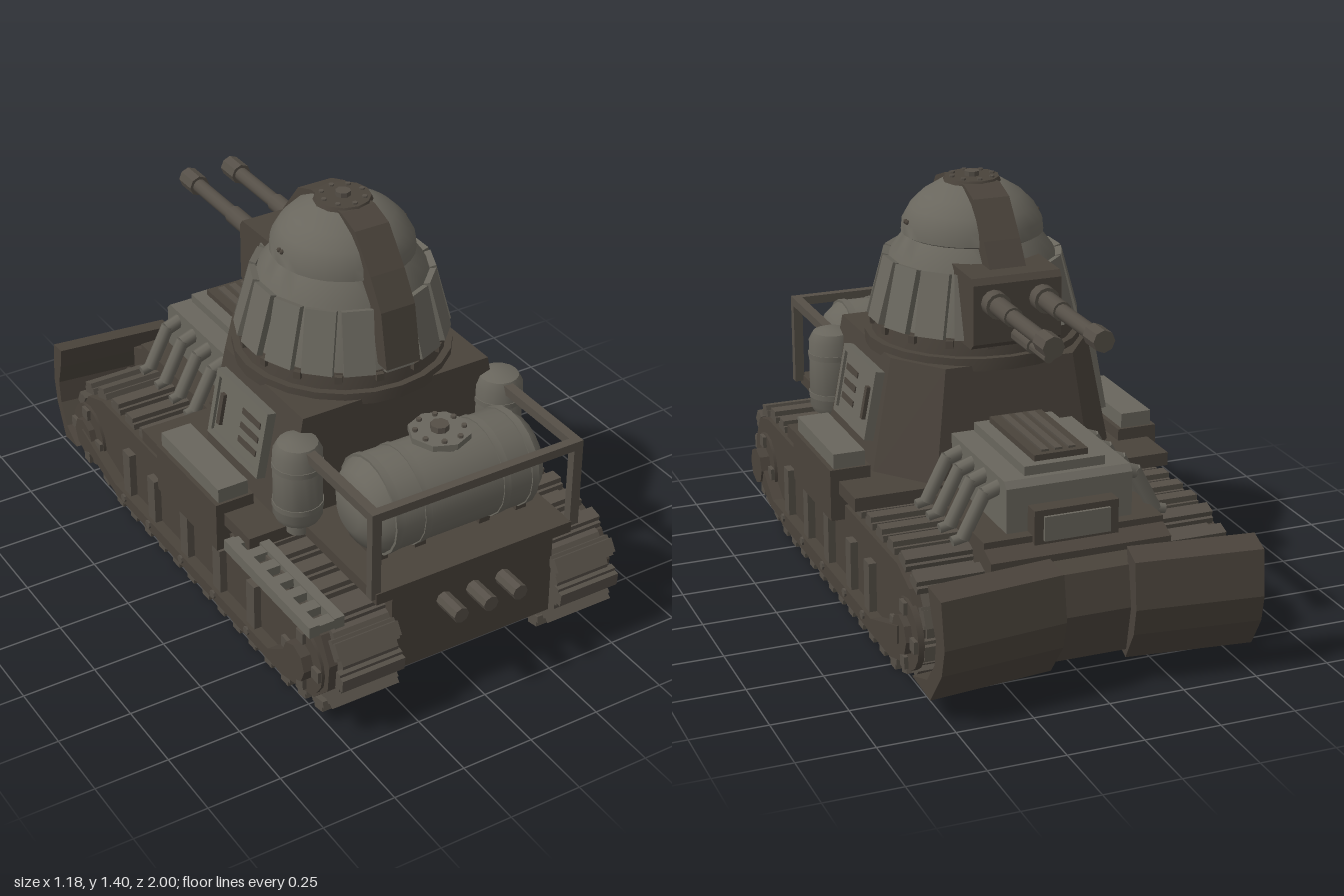
import * as THREE from 'three';
import { toCreasedNormals } from 'three/addons/utils/BufferGeometryUtils.js';
import { ConvexGeometry } from 'three/addons/geometries/ConvexGeometry.js';

const paint = (name, color) => Object.assign(new THREE.MeshStandardMaterial({ color }), { name });

export function createModel() {
  const hullMat = paint('hull brown', 0x4a433b);
  const plateMat = paint('armour grey', 0x69665d);
  const trackMat = paint('track steel', 0x554f47);

  const model = new THREE.Group();
  model.name = 'armouredVehicle';
  const body = new THREE.Group();
  body.name = 'body';
  body.position.x = 0.008;
  model.add(body);

  const add = (name, geo, mat, x = 0, y = 0, z = 0, parent = body) => {
    const m = new THREE.Mesh(geo, mat);
    m.name = name;
    m.position.set(x, y, z);
    parent.add(m);
    return m;
  };
  // Box given by its min and max on each axis
  const box = (name, mat, x0, x1, y0, y1, z0, z1, parent) =>
    add(name, new THREE.BoxGeometry(Math.abs(x1 - x0), y1 - y0, z1 - z0), mat,
      (x0 + x1) / 2, (y0 + y1) / 2, (z0 + z1) / 2, parent);
  // Cylinder along a chosen axis
  const cyl = (name, mat, r0, r1, len, axis, x, y, z, sides = 16, parent = body) => {
    const g = new THREE.CylinderGeometry(r0, r1, len, sides);
    if (axis === 'x') g.rotateZ(-Math.PI / 2);
    if (axis === 'z') g.rotateX(Math.PI / 2);
    return add(name, toCreasedNormals(g, 0.7), mat, x, y, z, parent);
  };
  // Outline of [z, y] points extruded from x0 to x1
  const slab = (name, mat, pts, x0, x1, parent) => {
    const shape = new THREE.Shape(pts.map(([z, y]) => new THREE.Vector2(-z, y)));
    const g = new THREE.ExtrudeGeometry(shape, { depth: x1 - x0, bevelEnabled: false });
    g.rotateY(Math.PI / 2).translate(x0, 0, 0);
    return add(name, g, mat, 0, 0, 0, parent);
  };
  const mirrorSlab = (name, mat, pts, a, b, s, parent) =>
    slab(name, mat, pts, Math.min(s * a, s * b), Math.max(s * a, s * b), parent);
  const rod = (name, mat, a, b, r, sides = 8) => {
    const p = new THREE.Vector3(...a), q = new THREE.Vector3(...b);
    const m = add(name, new THREE.CylinderGeometry(r, r, p.distanceTo(q), sides), mat);
    m.position.copy(p).add(q).multiplyScalar(0.5);
    m.quaternion.setFromUnitVectors(new THREE.Vector3(0, 1, 0), q.sub(p).normalize());
    return m;
  };
  const lathe = (pts, n) => toCreasedNormals(
    new THREE.LatheGeometry(pts.map(([r, y]) => new THREE.Vector2(r, y)), n), 0.6);

  // Hull, decks and fenders
  slab('hull', hullMat, [[0.9, 0.45], [0.9, 0.15], [-0.76, 0.15], [-0.8, 0.2], [-0.8, 0.43], [-0.7, 0.47], [-0.26, 0.47]], -0.3, 0.3);
  box('frontDeck', hullMat, -0.37, 0.355, 0.45, 0.49, 0.44, 0.92);
  box('engineBase', hullMat, -0.3, 0.3, 0.43, 0.475, -0.74, -0.2);
  for (const x of [-0.11, 0, 0.11]) cyl('exhaustPipe', trackMat, 0.027, 0.027, 0.11, 'z', x, 0.36, 0.945, 8);

  // Running gear
  const loop = [[0.62, 0.035], [-0.52, 0.035], [-0.7, 0.085], [-0.78, 0.17], [-0.78, 0.28], [-0.72, 0.36],
    [-0.6, 0.4], [0.75, 0.4], [0.88, 0.37], [0.94, 0.28], [0.93, 0.17], [0.84, 0.08]];
  const path = new THREE.Path(loop.concat([loop[0]]).map(([z, y]) => new THREE.Vector2(z, y)));
  const shoes = Math.round(path.getLength() / 0.103);
  const shoeGeo = new THREE.BoxGeometry(0.225, 0.022, 0.068);
  const cleatGeo = new THREE.BoxGeometry(0.225, 0.022, 0.046);
  const side = [[0.62, 0.04], [-0.52, 0.04], [-0.69, 0.09], [-0.765, 0.18], [-0.765, 0.27], [-0.71, 0.35], [-0.6, 0.39],
    [0.75, 0.39], [0.86, 0.36], [0.91, 0.27], [0.9, 0.17], [0.82, 0.09]];
  for (const s of [-1, 1]) {
    mirrorSlab('trackBelt', trackMat, loop, 0.3, 0.5, s);
    mirrorSlab('trackSidePlate', hullMat, side, 0.5, 0.53, s);
    mirrorSlab('suspensionBeam', hullMat, [[0.78, 0.18], [0.62, 0.11], [-0.43, 0.11], [-0.7, 0.17], [-0.7, 0.23], [-0.45, 0.145], [0.6, 0.145], [0.77, 0.26]], 0.53, 0.568, s);
    for (let i = 0; i < shoes; i++) {
      const p = path.getPointAt(i / shoes), t = path.getTangentAt(i / shoes);
      const shoe = new THREE.Group();
      shoe.name = 'trackShoe';
      shoe.position.set(s * 0.407, p.y, p.x);
      shoe.rotation.x = -Math.atan2(t.y, t.x);
      add('shoePlate', shoeGeo, trackMat, 0, 0.005, 0, shoe);
      add('shoeCleat', cleatGeo, trackMat, 0, 0.023, 0, shoe);
      body.add(shoe);
    }
    for (const z of [0.47, 0.25, 0.03, -0.2, -0.38]) {
      box('sideRib', trackMat, s * 0.53, s * 0.555, 0.14, 0.31, z - 0.025, z + 0.025);
      cyl('beamBolt', trackMat, 0.015, 0.015, 0.01, 'x', s * 0.57, 0.13, z, 8);
    }
    for (const [z, y, reach] of [[0.77, 0.215, 0.575], [-0.7, 0.2, 0.562]]) {
      cyl('wheelRim', hullMat, 0.115, 0.115, 0.02, 'x', s * 0.53, y, z, 16);
      cyl('wheelHub', hullMat, 0.065, 0.065, 0.06, 'x', s * (reach - 0.03), y, z, 8);
      for (let k = 0; k < 4; k++) {
        const a = k * Math.PI / 2;
        box('wheelLug', trackMat, s * 0.54, s * 0.56, -0.02, 0.02, -0.02, 0.02)
          .position.set(s * 0.543, y + 0.09 * Math.cos(a), z + 0.09 * Math.sin(a));
      }
    }
    box('fender', hullMat, s * 0.28, s * 0.548, 0.43, 0.475, -0.26, 0.46);
    // Stowage box with raised lid
    box('stowageBox', hullMat, s * 0.44, s * 0.577, 0.34, 0.515, -0.1, 0.3);
    box('stowageLid', plateMat, s * 0.455, s * 0.562, 0.515, 0.565, -0.09, 0.29);
  }

  // Slatted step, right side only
  for (const x of [-0.6, -0.512]) box('stepRail', plateMat, x, x + 0.035, 0.41, 0.45, 0.39, 0.91);
  for (let i = 0; i < 7; i++) box('stepSlat', plateMat, -0.57, -0.5, 0.415, 0.445, 0.39 + i * 0.08, 0.43 + i * 0.08);

  // Casemate: tapered block with chamfered rear corners
  const ring = (y, w, zf, zc, wr, zr) => [-1, 1].flatMap(s =>
    [[w * s, zf], [w * s, zc], [wr * s, zr]].map(([x, z]) => new THREE.Vector3(x, y, z)));
  add('casemate', new ConvexGeometry([...ring(0.46, 0.42, 0.46, -0.06, 0.27, -0.25), ...ring(0.85, 0.345, 0.45, -0.04, 0.22, -0.21)]), hullMat);
  box('casemateFoot', hullMat, -0.28, 0.28, 0.45, 0.485, -0.28, 0.4);
  for (const s of [-1, 1]) {
    const door = new THREE.Group();
    door.name = 'sideDoor';
    door.position.set(s * 0.388, 0.68, 0.145);
    door.rotation.z = s * 0.19;
    body.add(door);
    box('doorPanel', plateMat, -0.012, 0.012, -0.11, 0.11, -0.15, 0.15, door);
    for (const e of [-1, 1]) {
      box('doorFrameBar', plateMat, -0.022, 0.022, e * 0.107 - 0.01, e * 0.107 + 0.01, -0.16, 0.16, door);
      box('doorFramePost', plateMat, -0.022, 0.022, -0.11, 0.11, e * 0.15 - 0.01, e * 0.15 + 0.01, door);
    }
    for (const y of [-0.05, 0, 0.05]) box('doorSlit', hullMat, s * 0.01, s * 0.016, y - 0.01, y + 0.01, 0.01, 0.12, door);
    box('doorHandle', hullMat, s * 0.01, s * 0.025, -0.06, 0.05, -0.115, -0.095, door);
  }

  // Turret
  const turret = new THREE.Group();
  turret.name = 'turret';
  turret.position.z = 0.12;
  body.add(turret);
  cyl('turretRing', hullMat, 0.358, 0.358, 0.042, 'y', 0, 0.853, 0, 24, turret);
  cyl('turretCollar', hullMat, 0.328, 0.335, 0.06, 'y', 0, 0.9, 0, 24, turret);
  add('dome', lathe([[0.325, 0.92], [0.27, 1.14], [0.225, 1.2], [0.234, 1.205], [0.23, 1.245], [0.205, 1.29], [0.165, 1.33], [0.1, 1.37], [0, 1.375]], 32), plateMat, 0, 0, 0, turret);
  const plateGeo = new THREE.BoxGeometry(0.1, 0.21, 0.022);
  for (let i = 0; i < 16; i++) {
    const a = i * Math.PI / 8, b = a + Math.PI / 16;
    const p = add('skirtPlate', plateGeo, plateMat, 0.31 * Math.sin(a), 1.03, 0.31 * Math.cos(a), turret);
    p.rotation.set(-0.26, a, 0, 'YXZ');
    const tab = box('skirtBracket', hullMat, -0.012, 0.012, 0.9, 0.925, -0.01, 0.01, turret);
    tab.position.set(0.333 * Math.sin(b), 0.913, 0.333 * Math.cos(b));
    tab.rotation.y = b;
    if (i % 4 === 2) for (const e of [-0.75, 0.75])
      add('domeRivet', new THREE.SphereGeometry(0.008, 8, 6), hullMat, 0.228 * Math.sin(a + e), 1.25, 0.228 * Math.cos(a + e), turret);
  }
  // Raised band over the dome, open underneath
  const arch = [[0.362, 0.95], [0.325, 1.137], [0.262, 1.235], [0.17, 1.35], [0.09, 1.378]];
  slab('domeBand', hullMat, [...arch, ...arch.map(([z, y]) => [-z, y]).reverse()], -0.062, 0.062, turret);
  cyl('topHatch', hullMat, 0.09, 0.1, 0.026, 'y', 0, 1.372, 0, 12, turret);
  cyl('hatchKnob', trackMat, 0.025, 0.025, 0.022, 'y', 0, 1.39, 0, 8, turret);
  for (let i = 0; i < 8; i++) {
    const a = i * Math.PI / 4;
    cyl('hatchBolt', trackMat, 0.009, 0.009, 0.01, 'y', 0.07 * Math.sin(a), 1.386, 0.07 * Math.cos(a), 6, turret);
  }

  // Gun mount and guns
  slab('gunMantlet', hullMat, [[-0.05, 1.16], [-0.26, 1.155], [-0.275, 1.135], [-0.275, 0.94], [-0.25, 0.92], [-0.05, 0.92]], -0.15, 0.15);
  for (const x of [-0.082, 0.082]) {
    cyl('gunSleeve', trackMat, 0.043, 0.043, 0.06, 'z', x, 1.075, -0.29, 12);
    cyl('gunJacket', trackMat, 0.032, 0.032, 0.14, 'z', x, 1.075, -0.37, 12);
    cyl('gunBarrel', trackMat, 0.025, 0.025, 0.46, 'z', x, 1.075, -0.5, 12);
    cyl('gunMuzzle', trackMat, 0.036, 0.036, 0.08, 'z', x, 1.075, -0.715, 8);
  }
  cyl('smallGunSleeve', trackMat, 0.024, 0.024, 0.13, 'z', 0, 0.96, -0.34, 10);
  cyl('smallGun', trackMat, 0.016, 0.016, 0.26, 'z', 0, 0.96, -0.4, 10);

  // Engine cover with side pipes
  slab('engineCover', plateMat, [[-0.22, 0.46], [-0.22, 0.64], [-0.68, 0.64], [-0.7, 0.62], [-0.7, 0.46]], -0.21, 0.21);
  box('engineVent', plateMat, -0.135, 0.135, 0.64, 0.67, -0.66, -0.24);
  box('engineVentTop', hullMat, -0.09, 0.09, 0.67, 0.69, -0.63, -0.26);
  for (const x of [-0.045, 0, 0.045]) box('ventSlat', trackMat, x - 0.012, x + 0.012, 0.69, 0.697, -0.61, -0.28);
  box('rearGrille', hullMat, -0.14, 0.14, 0.44, 0.56, -0.755, -0.69);
  box('rearGrillePlate', plateMat, -0.11, 0.11, 0.46, 0.54, -0.765, -0.755);
  for (const s of [-1, 1]) for (const z of [-0.625, -0.515, -0.41, -0.305]) {
    rod('sidePipeTop', plateMat, [s * 0.2, 0.605, z], [s * 0.255, 0.585, z], 0.024);
    rod('sidePipe', plateMat, [s * 0.25, 0.595, z], [s * 0.325, 0.45, z], 0.023);
    rod('sidePipeEnd', plateMat, [s * 0.31, 0.455, z], [s * 0.36, 0.445, z], 0.017);
  }

  // Plough: recessed centre, two swept wings and push arms
  slab('ploughCentre', hullMat, [[-0.79, 0.41], [-0.87, 0.39], [-0.9, 0.26], [-0.86, 0.1], [-0.78, 0.1]], -0.15, 0.15);
  const blade = [[0.1, 0.44], [0.015, 0.42], [-0.005, 0.27], [0.015, 0.18], [0.09, 0.07], [0.21, 0.1], [0.11, 0.13], [0.06, 0.2], [0.05, 0.28], [0.08, 0.36]];
  for (const s of [-1, 1]) {
    const wing = new THREE.Group();
    wing.name = 'ploughWing';
    wing.position.set(s * 0.115, 0, -0.945);
    wing.rotation.y = s * 0.12;
    body.add(wing);
    mirrorSlab('wingBlade', hullMat, blade, 0, 0.415, s, wing);
    rod('ploughArm', hullMat, [s * 0.27, 0.27, -0.7], [s * 0.27, 0.24, -0.93], 0.035, 6);
    rod('ploughBrace', hullMat, [s * 0.2, 0.3, -0.76], [s * 0.36, 0.24, -0.92], 0.025, 6);
  }

  // Fuel drum with straps and filler cap
  const drum = lathe([[0, -0.338], [0.065, -0.338], [0.125, -0.305], [0.155, -0.265], [0.16, -0.24], [0.16, 0.24], [0.155, 0.265], [0.125, 0.305], [0.065, 0.338], [0, 0.338]], 20);
  drum.rotateZ(-Math.PI / 2);
  add('fuelDrum', drum, plateMat, 0, 0.65, 0.7);
  for (const x of [-0.25, -0.145, 0.145, 0.25]) cyl('drumStrap', plateMat, 0.164, 0.164, 0.025, 'x', x, 0.65, 0.7, 20);
  cyl('fillerNeck', plateMat, 0.06, 0.07, 0.04, 'y', 0, 0.805, 0.7, 12);
  cyl('fillerCap', plateMat, 0.1, 0.1, 0.02, 'y', 0, 0.822, 0.69, 8);
  cyl('fillerKnob', trackMat, 0.03, 0.03, 0.025, 'y', 0, 0.84, 0.69, 8);
  for (let i = 0; i < 8; i++) {
    const a = (i + 0.5) * Math.PI / 4;
    cyl('capBolt', trackMat, 0.009, 0.009, 0.014, 'y', 0.077 * Math.sin(a), 0.835, 0.077 * Math.cos(a) + 0.69, 6);
  }
  for (const s of [-1, 1]) for (const x of [0.1, 0.24]) box('drumCradle', hullMat, s * x, s * (x + 0.04), 0.485, 0.52, 0.62, 0.78);

  // Upright gas bottles and guard rail
  for (const s of [-1, 1]) {
    add('gasBottle', lathe([[0, 0.51], [0.07, 0.51], [0.08, 0.53], [0.08, 0.76], [0.065, 0.79], [0.03, 0.802], [0, 0.802]], 16), plateMat, s * 0.377, 0, 0.47);
    cyl('bottleFoot', plateMat, 0.04, 0.04, 0.06, 'y', s * 0.377, 0.49, 0.47, 12);
    for (const y of [0.57, 0.71]) cyl('bottleBand', plateMat, 0.083, 0.083, 0.018, 'y', s * 0.377, y, 0.47, 16);
    box('railPost', trackMat, s * 0.352, s * 0.385, 0.47, 0.785, 0.885, 0.915);
    box('railSide', trackMat, s * 0.352, s * 0.385, 0.755, 0.785, 0.5, 0.915);
  }
  box('railFront', trackMat, -0.385, 0.385, 0.755, 0.785, 0.885, 0.915);

  return model;
}
